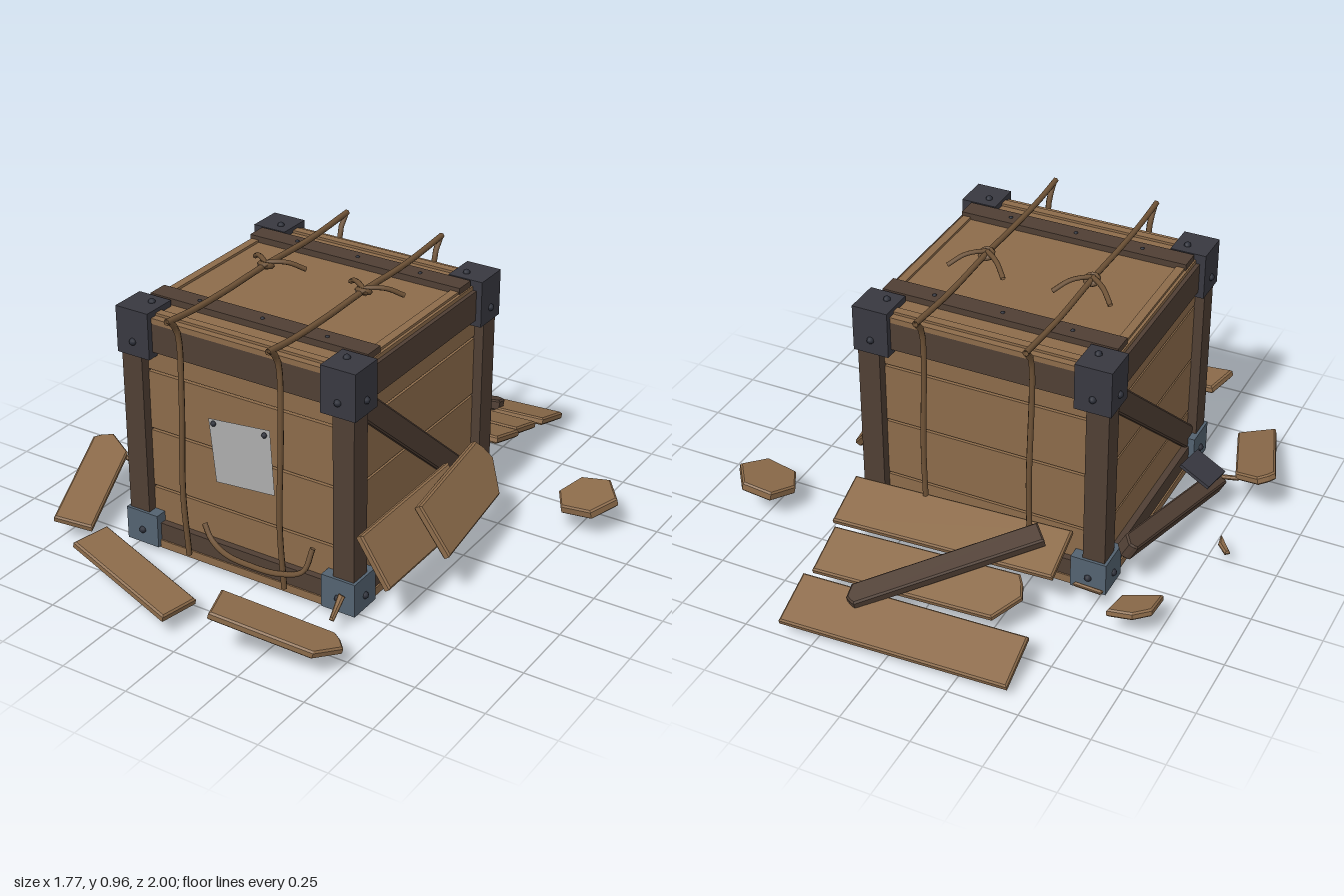
import * as THREE from 'three';

const V = (x, y, z) => new THREE.Vector3(x, y, z);
const mat = (name, color, side = THREE.FrontSide) => {
  const m = new THREE.MeshStandardMaterial({ color, side });
  m.name = name;
  return m;
};

export function createModel() {
  const plankMat = mat('plank wood', 0x8c6b4a);
  const frameMat = mat('dark frame wood', 0x503f34);
  const ironMat = mat('dark iron', 0x383840);
  const steelMat = mat('blue steel', 0x536270);
  const boltMat = mat('bolt metal', 0x2b2e38);
  const ropeMat = mat('rope', 0x6f5337, THREE.DoubleSide);
  const paperMat = mat('grey paper', 0xacacac, THREE.DoubleSide);
  const gapMat = mat('gap shadow wood', 0x3f3025);

  const model = new THREE.Group();
  model.name = 'brokenCrate';
  const crate = new THREE.Group();
  crate.name = 'crate';
  crate.position.set(-0.06, 0, 0.09);
  model.add(crate);

  const add = (parent, name, geo, material) => {
    const m = new THREE.Mesh(geo, material);
    m.name = name;
    parent.add(m);
    return m;
  };
  const box = (parent, name, material, sx, sy, sz, x, y, z) => {
    const m = add(parent, name, new THREE.BoxGeometry(sx, sy, sz), material);
    m.position.set(x, y, z);
    return m;
  };
  const tube = (name, pts, r = 0.011) =>
    add(model, name, new THREE.TubeGeometry(
      new THREE.CatmullRomCurve3(pts.map(p => V(...p))), pts.length * 5, r, 6), ropeMat);
  const bolt = (parent, x, y, z, r = 0.013) => {
    const m = add(parent, 'bolt', new THREE.SphereGeometry(r, 8, 6), boltMat);
    m.position.set(x, y, z);
  };

  // Bevelled flat piece cut from an outline, centred on its thickness
  const cut = (pts, thick) => {
    const b = 0.006;
    const geo = new THREE.ExtrudeGeometry(
      new THREE.Shape(pts.map(p => new THREE.Vector2(...p))),
      { depth: thick - 2 * b, bevelEnabled: true, bevelThickness: b, bevelSize: b, bevelOffset: -b, bevelSegments: 1 });
    geo.translate(0, 0, -thick / 2 + b);
    return geo;
  };
  // Board laid from a to b, its flat side facing "up"; tip is the length of a broken point at b
  const board = (parent, name, material, a, b, width, thick, up = [0, 1, 0], tip = 0) => {
    const A = V(...a), B = V(...b), L = A.distanceTo(B) / 2, w = width / 2;
    const outline = tip
      ? [[-L, -w], [L - tip, -w], [L, w * 0.1], [L - tip * 0.25, w * 0.65], [L - tip * 0.55, w], [-L, w]]
      : [[-L, -w], [L, -w], [L, w], [-L, w]];
    const m = add(parent, name, cut(outline, thick), material);
    const X = B.clone().sub(A).normalize();
    const Z = V(...up).addScaledVector(X, -X.dot(V(...up))).normalize();
    m.quaternion.setFromRotationMatrix(new THREE.Matrix4().makeBasis(X, Z.clone().cross(X), Z));
    m.position.copy(A.add(B).multiplyScalar(0.5));
    return m;
  };

  // Core and floor
  box(crate, 'core', gapMat, 0.8, 0.8, 0.8, 0, 0.46, 0);
  box(crate, 'floor', plankMat, 0.9, 0.03, 0.9, 0, 0.032, 0);

  // Four sides, each with planks and rails; the x sides carry a diagonal brace
  for (let i = 0; i < 4; i++) {
    const side = new THREE.Group();
    side.name = ['front', 'left', 'back', 'right'][i] + 'Side';
    side.rotation.y = i * Math.PI / 2;
    crate.add(side);
    for (let k = 0; k < 4; k++)
      box(side, 'wallPlank', plankMat, 0.8, 0.214, 0.03, 0, 0.127 + k * 0.223, 0.405);
    box(side, 'topRail', frameMat, 0.76, 0.11, 0.065, 0, 0.825, 0.412);
    box(side, 'bottomRail', frameMat, 0.76, 0.09, 0.065, 0, 0.067, 0.412);
    if (i % 2) board(side, 'brace', frameMat, [-0.4, 0.79, 0.425], [0.37, 0.13, 0.425], 0.085, 0.03, [0, 0, 1]);
  }

  // Corner posts, iron caps and bolts
  for (const sx of [-1, 1]) for (const sz of [-1, 1]) {
    box(crate, 'post', frameMat, 0.08, 0.86, 0.08, sx * 0.415, 0.455, sz * 0.415);
    box(crate, 'upperCap', ironMat, 0.13, 0.168, 0.13, sx * 0.4, 0.832, sz * 0.4);
    box(crate, 'lowerCap', steelMat, 0.13, 0.124, 0.13, sx * 0.4, 0.086, sz * 0.4);
    for (const y of [0.8, 0.076]) {
      bolt(crate, sx * 0.4, y, sz * 0.465);
      bolt(crate, sx * 0.465, y, sz * 0.4);
    }
    bolt(crate, sx * 0.38, 0.916, sz * 0.38);
  }

  // Lid and its battens
  box(crate, 'lid', plankMat, 0.86, 0.02, 0.89, 0, 0.884, 0);
  for (const z of [-0.29, 0.29]) {
    box(crate, 'lidBatten', frameMat, 0.85, 0.026, 0.075, 0, 0.904, z);
    for (const x of [-0.25, 0, 0.25]) bolt(crate, x, 0.915, z, 0.008);
  }

  // Pinned paper note
  const note = new THREE.Shape([[-0.19, 0.575], [-0.165, 0.34], [0.07, 0.36], [0.055, 0.6]].map(p => new THREE.Vector2(...p)));
  add(model, 'note', new THREE.ShapeGeometry(note), paperMat).position.z = 0.517;
  bolt(model, -0.168, 0.562, 0.52, 0.01);
  bolt(model, 0.035, 0.578, 0.52, 0.01);

  // Two ropes tied over the lid
  for (const x of [-0.255, 0.135]) {
    tube('frontRope', [[x, 0.05, 0.565], [x - 0.004, 0.3, 0.58], [x + 0.004, 0.65, 0.577], [x, 0.9, 0.58], [x, 0.955, 0.62]]);
    tube('backRope', [[x, 0.05, -0.39], [x + 0.004, 0.4, -0.4], [x, 0.9, -0.395], [x, 0.95, -0.43]]);
    tube('topRope', [[x, 0.955, 0.635], [x, 0.943, 0.5], [x, 0.94, 0.3], [x, 0.945, 0.08], [x, 0.94, -0.2], [x, 0.955, -0.44]]);
    const knot = add(model, 'knot', new THREE.TorusGeometry(0.02, 0.011, 6, 10), ropeMat);
    knot.position.set(x, 0.945, 0.075);
    knot.rotation.x = 1.2;
    for (const s of [-1, 1])
      tube('knotEnd', [[x - s * 0.02, 0.945, 0.095], [x + s * 0.01, 0.955, 0.07], [x + s * 0.06, 0.95, 0.03], [x + s * 0.105, 0.92, -0.012]], 0.009);
  }
  // Rope handle on the front
  tube('ropeHandle', [[-0.2, 0.18, 0.545], [-0.165, 0.14, 0.56], [-0.09, 0.115, 0.582], [0.02, 0.108, 0.588],
    [0.13, 0.115, 0.586], [0.21, 0.14, 0.565], [0.23, 0.22, 0.535]], 0.01);

  // Loose planks sloping away behind the crate, with a beam across them
  const slope = [0, 0.95, -0.31];
  board(model, 'loosePlank', plankMat, [-0.43, 0.07, -0.855], [0.375, 0.085, -0.905], 0.195, 0.028, slope);
  board(model, 'loosePlank', plankMat, [0.37, 0.14, -0.695], [-0.345, 0.14, -0.65], 0.185, 0.028, slope, 0.07);
  board(model, 'loosePlank', plankMat, [-0.4, 0.205, -0.45], [0.4, 0.205, -0.495], 0.195, 0.028, slope);
  board(model, 'looseBeam', frameMat, [-0.315, 0.255, -0.435], [0.19, 0.115, -0.86], 0.08, 0.04, slope, 0.03);

  // Planks leaning against the left side
  board(model, 'leaningPlank', plankMat, [0.475, 0.258, 0.56], [0.475, 0.258, 0.0], 0.2, 0.03, [0.83, 0.55, 0]);
  board(model, 'leaningPlank', plankMat, [0.54, 0.258, 0.295], [0.475, 0.258, -0.23], 0.2, 0.03, [0.83, 0.55, 0], 0.08);

  // Loose planks in front and on the right
  board(model, 'fallenPlank', plankMat, [-0.49, 0.165, 0.8], [-0.06, 0.07, 0.885], 0.145, 0.03);
  board(model, 'fallenPlank', plankMat, [0.12, 0.19, 0.935], [0.515, 0.075, 0.805], 0.14, 0.03, [0, 1, 0], 0.08);
  board(model, 'fallenPlank', plankMat, [-0.685, 0.075, 0.66], [-0.825, 0.185, 0.235], 0.14, 0.03, [0.2, 1, 0], 0.07);

  // Fallen post with its torn-off cap
  board(model, 'fallenPost', frameMat, [-0.65, 0.07, 0.33], [-0.565, 0.195, -0.32], 0.065, 0.065, [-0.5, 1, 0], 0.03);
  const tornCap = box(model, 'tornCap', ironMat, 0.125, 0.012, 0.13, -0.64, 0.205, 0.2);
  tornCap.rotation.set(0.1, -0.1, 0.42);

  // Splintered chips: outline, position, tilt
  const chips = [
    [[[-0.11, 0], [-0.07, -0.1], [0.04, -0.11], [0.115, -0.01], [0.06, 0.09], [-0.06, 0.085]].map(([x, y]) => [x, -y]), [0.77, 0.112, -0.4], [0.15, 0, 0.15], 0.035],
    [[[-0.068, -0.08], [0.06, -0.03], [0.068, 0.083], [-0.02, 0.075], [-0.07, 0.025]], [-0.668, 0.1, -0.463], [0.15, 0, -0.1], 0.028],
    [[[-0.05, -0.014], [0.05, 0.004], [0.05, 0.018], [-0.05, 0.004]], [-0.5, 0.115, -0.465], [0.35, 0, 0.1], 0.016],
    [[[-0.033, 0.03], [0.033, -0.05], [0.02, 0.01], [-0.02, 0.05]], [-0.805, 0.06, 0.005], [0.2, 0, 0.2], 0.016],
    [[[0.005, -0.055], [0.022, -0.055], [0.005, 0.045], [-0.022, 0.05]], [0.37, 0.085, 0.61], [0.35, 0, 0], 0.016],
    [[[-0.04, -0.008], [0.04, -0.008], [0.03, 0.01], [-0.03, 0.01]], [-0.72, 0.14, 0.28], [0, 0, -0.2], 0.016],
    [[[-0.03, -0.02], [0.03, -0.015], [0.02, 0.02], [-0.03, 0.015]], [0.34, 0.012, 0.49], [0, 0, 0.05], 0.022],
  ];
  for (const [outline, p, r, thick] of chips) {
    const c = add(model, 'woodChip', cut(outline, thick).rotateX(-Math.PI / 2), plankMat);
    c.position.set(...p);
    c.rotation.set(...r);
  }
  return model;
}
